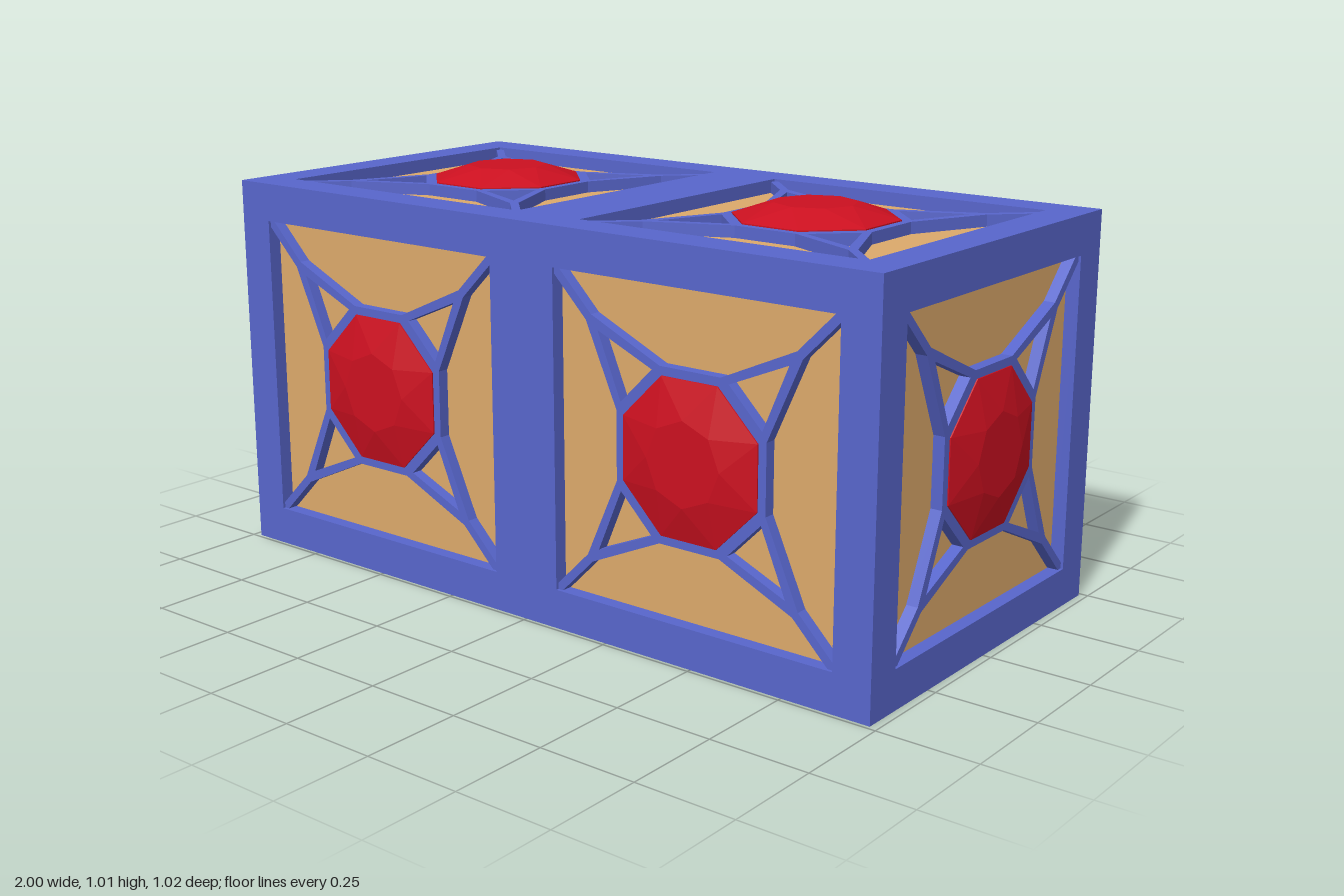
import * as THREE from 'three';

const W = 0.98, H = 0.49;      // half length, half height / depth
const D = 0.035;               // depth of the recessed panels
const OPEN = 0.392;            // half size of a panel opening

const blue = new THREE.MeshStandardMaterial({ color: 0x5866cc, flatShading: true });
const tan = new THREE.MeshStandardMaterial({ color: 0xdca96b, flatShading: true });
const red = new THREE.MeshStandardMaterial({ color: 0xcc1020, flatShading: true });

const vecs = (pts) => pts.map(([x, y]) => new THREE.Vector2(x, y));
const octagon = (apothem, turn, z = 0) => Array.from({ length: 8 }, (_, i) => {
  const a = (i + turn) * Math.PI / 4, r = apothem / Math.cos(Math.PI / 8);
  return [r * Math.cos(a), r * Math.sin(a), z];
});
const rect = (w, h, cx = 0) => [[cx - w, -h], [cx + w, -h], [cx + w, h], [cx - w, h]];

function add(parent, name, geometry, material) {
  const mesh = new THREE.Mesh(geometry, material);
  mesh.name = name;
  parent.add(mesh);
  return mesh;
}

// Outline with holes, extruded from the panel floor up to z = top
function slab(outline, holes, top) {
  const shape = new THREE.Shape(vecs(outline));
  holes.forEach((h) => shape.holes.push(new THREE.Path(vecs(h))));
  return new THREE.ExtrudeGeometry(shape, { depth: D + top, bevelEnabled: false }).translate(0, 0, -D);
}

// Lattice: octagonal ring with a forked strut to each corner
function latticeGeometry() {
  const arm = [[0.208, 0.084], [0.297, 0.282], [0.391, 0.376], [0.391, 0.391],
    [0.376, 0.391], [0.282, 0.297], [0.084, 0.208]];
  const gap = [[0.196, 0.106], [0.263, 0.263], [0.106, 0.196]];
  const outline = [], holes = [octagon(0.187, 0.5)];
  for (let q = 0; q < 4; q++) {
    const c = Math.round(Math.cos(q * Math.PI / 2)), s = Math.round(Math.sin(q * Math.PI / 2));
    const turn = ([x, y]) => [c * x - s * y, s * x + c * y];
    outline.push(...arm.map(turn));
    holes.push(gap.map(turn));
  }
  return slab(outline, holes, -0.006);
}

// Cut gem: straight girdle, triangular crown facets, flat octagonal table
function gemGeometry(height) {
  const foot = octagon(0.187, 0.5, -D), girdle = octagon(0.187, 0.5, -0.003);
  const table = octagon(0.094, 1, height);
  const p = [];
  for (let i = 0; i < 8; i++) {
    const j = (i + 1) % 8;
    p.push(foot[i], foot[j], girdle[j], foot[i], girdle[j], girdle[i]);
    p.push(girdle[i], girdle[j], table[i], girdle[j], table[j], table[i]);
    p.push([0, 0, height], table[i], table[j]);
  }
  const g = new THREE.BufferGeometry();
  g.setAttribute('position', new THREE.Float32BufferAttribute(p.flat(), 3));
  g.computeVertexNormals();
  return g;
}

export function createModel() {
  const model = new THREE.Group();
  model.name = 'jewelledBlock';

  // Inner body showing through the openings, and plain base
  add(model, 'innerPanels', new THREE.BoxGeometry(2 * (W - D), 2 * (H - D), 2 * (H - D)), tan).position.y = H;
  add(model, 'basePlate', new THREE.BoxGeometry(2 * W, D, 2 * (H - D)), blue).position.y = D / 2;

  const lattice = latticeGeometry();
  const lowGem = gemGeometry(0.021), highGem = gemGeometry(0.031);
  const pair = [-H, H];

  // Each side: position, rotation, half size of its plate, panel centres
  const sides = [
    { name: 'front', pos: [0, H, H], rot: [0, 0, 0], size: [W, H], cells: pair, gem: lowGem },
    { name: 'back', pos: [0, H, -H], rot: [0, Math.PI, 0], size: [W, H], cells: pair, gem: lowGem },
    { name: 'top', pos: [0, 2 * H, 0], rot: [-Math.PI / 2, 0, 0], size: [W, H - D], cells: pair, gem: highGem },
    { name: 'left', pos: [W, H, 0], rot: [0, Math.PI / 2, 0], size: [H - D, H - D], cells: [0], gem: lowGem },
    { name: 'right', pos: [-W, H, 0], rot: [0, -Math.PI / 2, 0], size: [H - D, H - D], cells: [0], gem: lowGem },
  ];

  for (const { name, pos, rot, size, cells, gem } of sides) {
    const side = new THREE.Group();
    side.name = name + 'Side';
    side.position.set(...pos);
    side.rotation.set(...rot);
    add(side, name + 'Frame', slab(rect(...size), cells.map((x) => rect(OPEN, OPEN, x)), 0), blue);
    for (const x of cells) {
      add(side, name + 'Lattice', lattice, blue).position.x = x;
      add(side, name + 'Gem', gem, red).position.x = x;
    }
    model.add(side);
  }
  return model;
}
